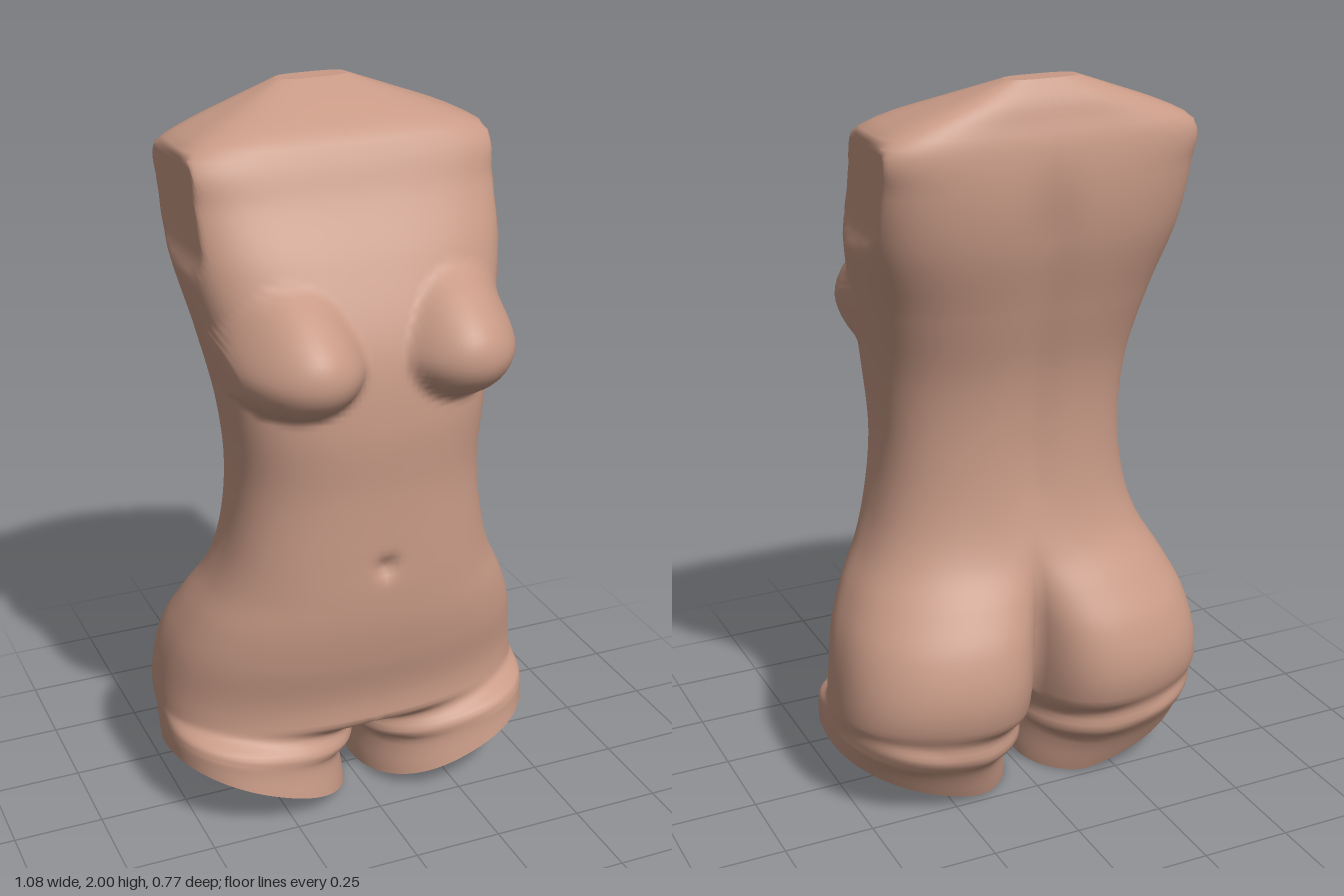
import * as THREE from 'three';
import { mergeVertices } from 'three/addons/utils/BufferGeometryUtils.js';

const SEGS = 80, ROWS = 116;
const { smoothstep, lerp } = THREE.MathUtils;

// Body profile by height: y, half width, front z, back z, front squareness, back squareness, cleft depth
const PROFILE = [
  [0, 0.54, 0.245, -0.25, 2.3, 2.3, 0.12],
  [0.1, 0.542, 0.235, -0.295, 2.3, 2.4, 0.16],
  [0.2, 0.54, 0.235, -0.355, 2.3, 2.6, 0.2],
  [0.35, 0.535, 0.23, -0.402, 2.3, 2.7, 0.2],
  [0.5, 0.508, 0.262, -0.378, 2.3, 2.6, 0.15],
  [0.6, 0.465, 0.278, -0.322, 2.3, 2.5, 0.08],
  [0.7, 0.41, 0.285, -0.256, 2.3, 2.5, 0.02],
  [0.8, 0.375, 0.285, -0.222, 2.4, 2.5, 0],
  [1.0, 0.348, 0.285, -0.202, 2.4, 2.6, 0],
  [1.2, 0.363, 0.292, -0.217, 2.5, 2.6, 0],
  [1.4, 0.4, 0.265, -0.268, 2.6, 2.8, 0],
  [1.6, 0.44, 0.175, -0.322, 3, 3.2, 0],
  [1.75, 0.45, 0.088, -0.337, 3.5, 3.5, 0],
  [1.86, 0.447, 0.035, -0.327, 4, 4, 0],
  [1.9, 0.375, 0.005, -0.315, 4, 4, 0],
  [1.95, 0.24, -0.09, -0.3, 3.5, 3.5, 0],
  [2.0, 0.1, -0.2, -0.27, 3, 3, 0],
];
const profile = new THREE.CubicInterpolant(
  PROFILE.map(r => r[0]), PROFILE.flatMap(r => r.slice(1)), 6, new Array(6));

// Radius of a unit superellipse in direction (s, c)
const superRadius = (s, c, n) => (Math.abs(s) ** n + Math.abs(c) ** n) ** (-1 / n);

function smoothMax(a, b, k) {
  const h = Math.max(k - Math.abs(a - b), 0) / k;
  return Math.max(a, b) + h * h * k / 4;
}

// Rounded bust: full below, sloping gently into the chest above
function bust(x, y, z) {
  const dy = y - 1.37;
  const d = ((x - 0.213) / 0.19) ** 2 + (dy / (dy > 0 ? 0.224 : 0.155)) ** 2;
  if (d >= 1) return z;
  const e = 0.5 + 0.4 * smoothstep(y, 1.36, 1.5);
  return smoothMax(z, 0.1 + 0.29 * (1 - d) ** e, 0.025);
}

// Slanted underside of the thigh
const thighCut = (x, z) =>
  Math.max(0, 0.005 + 0.175 * Math.max(0, (x - 0.04) / 0.5) ** 1.3 + 0.12 * z);

// Point on the left half: theta runs from the front middle, round the side, to the back middle
function bodyPoint(y, theta) {
  const [w, zf, zb, nf, nb, cleft] = profile.evaluate(y);
  const zc = (zf + zb) / 2, depth = (zf - zb) / 2;
  const s = Math.sin(theta), c = Math.cos(theta);
  const r = superRadius(s, c, c > 0 ? nf : nb);
  let x = w * s * r, z = zc + depth * c * r;

  if (c > 0) {
    z = lerp(z, bust(x, y, z), smoothstep(c, 0.08, 0.3));
    z -= 0.025 * Math.exp(-(x * x + (y - 0.785) ** 2) / 0.0007);        // navel
  } else {
    z += cleft * Math.exp(-x / 0.065) * smoothstep(-c, 0, 0.5);          // cleft
    z += 0.018 * Math.exp(-((x / 0.07) ** 2)) *
      smoothstep(y, 0.65, 0.9) * (1 - smoothstep(y, 1.6, 1.85));         // spine
  }
  // Flat arm cut
  if (y > 1.45) x = Math.min(x, 0.428 - 0.06 * (z + 0.2) + 0.05 * (1 - smoothstep(y, 1.45, 1.65)));

  // Below the hips each half closes into a thigh
  const leg = 1 - smoothstep(y, 0.165, 0.28);
  if (leg > 0) {
    const gap = 0.042 * (1 - smoothstep(y, 0.125, 0.165)) - 0.012 * (1 - smoothstep(y, 0, 0.12));
    const ls = Math.sin(2 * theta), lc = Math.cos(2 * theta), lr = superRadius(ls, lc, 2.3);
    const lx = (w + gap) / 2 - (w - gap) / 2 * lc * lr;
    const lz = -0.03 + (ls > 0 ? zf + 0.03 : -0.03 - zb) * ls * lr;
    x = lerp(x, lx, leg);
    z = lerp(z, lz, leg);
  }
  const h = y < 0.3 ? 0.3 - (0.3 - y) * (0.3 - thighCut(x, z)) / 0.3 : y;
  return new THREE.Vector3(x, h, z);
}

const ring = y => Array.from({ length: SEGS + 1 }, (_, i) => bodyPoint(y, Math.PI * i / SEGS));

function geometryFrom(points, index) {
  let g = new THREE.BufferGeometry().setFromPoints(points);
  g.setIndex(index);
  g = mergeVertices(g, 1e-4);
  g.computeVertexNormals();
  return g;
}

// Loft of both halves, joined along the middle
function bodyGeometry() {
  const points = [], index = [];
  for (const side of [1, -1]) {
    const start = points.length;
    for (let j = 0; j <= ROWS; j++)
      for (const p of ring(2 * j / ROWS)) points.push(p.setX(p.x * side));
    for (let j = 0; j < ROWS; j++)
      for (let i = 0; i < SEGS; i++) {
        const a = start + j * (SEGS + 1) + i, b = a + 1, c = a + SEGS + 1, d = c + 1;
        if (side > 0) index.push(a, b, d, a, d, c);
        else index.push(a, d, b, a, c, d);
      }
  }
  return geometryFrom(points, index);
}

// Fan closing a loop of points, facing up or down
function capGeometry(loop, up) {
  const centre = loop.reduce((sum, p) => sum.add(p), new THREE.Vector3()).divideScalar(loop.length);
  const index = [];
  loop.forEach((_, i) => {
    const a = i + 1, b = (i + 1) % loop.length + 1;
    index.push(0, ...(up ? [a, b] : [b, a]));
  });
  return geometryFrom([centre, ...loop], index);
}

export function createModel() {
  const group = new THREE.Group();
  group.name = 'torso';
  const skin = new THREE.MeshStandardMaterial({ color: 0xc89a86 });
  const add = (name, geometry) => {
    const mesh = new THREE.Mesh(geometry, skin);
    mesh.name = name;
    group.add(mesh);
  };
  const mirror = loop => loop.map(p => new THREE.Vector3(-p.x, p.y, p.z)).reverse();

  add('body', bodyGeometry());

  const thigh = ring(0).slice(0, SEGS);
  add('leftThighCut', capGeometry(thigh, false));
  add('rightThighCut', capGeometry(mirror(thigh), false));

  const neck = ring(2);
  add('neckCut', capGeometry([...neck, ...mirror(neck).slice(1, -1)], true));
  return group;
}
